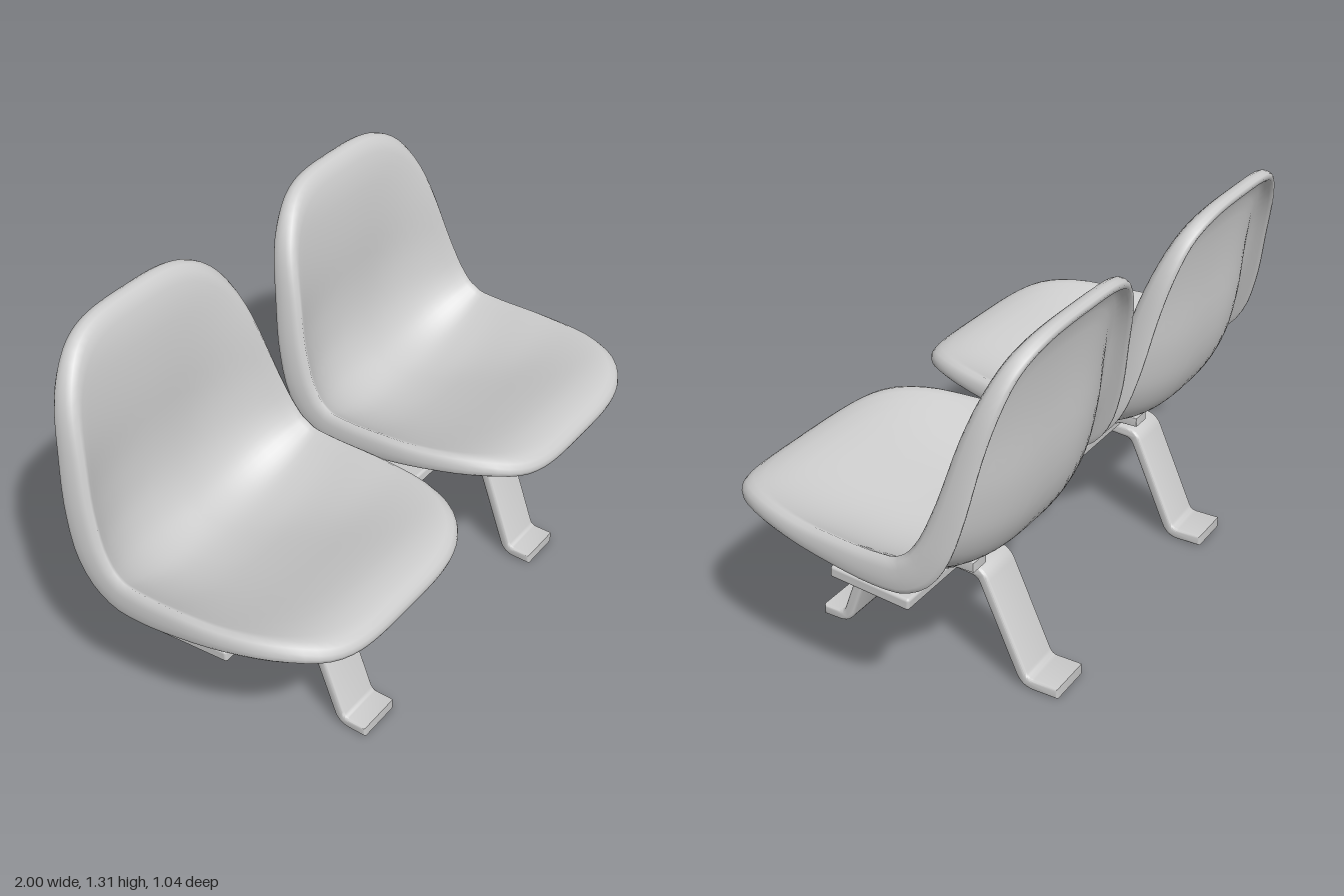
import * as THREE from 'three';
import { toCreasedNormals } from 'three/addons/utils/BufferGeometryUtils.js';
import { RoundedBoxGeometry } from 'three/addons/geometries/RoundedBoxGeometry.js';

const material = new THREE.MeshStandardMaterial({ color: 0xcccccc });

function part(name, geometry, parent, x = 0, y = 0, z = 0) {
  const mesh = new THREE.Mesh(geometry, material);
  mesh.name = name;
  mesh.position.set(x, y, z);
  parent.add(mesh);
  return mesh;
}

// Moulded shell: a squircle dish with a rolled rim, bent along the seat-to-back profile
function shellGeometry() {
  // Centre line from the front lip to the top of the back, as [z, y]
  const spine = new THREE.CatmullRomCurve3([
    [0.524, 0.594], [0.43, 0.604], [0.3, 0.582], [0.1, 0.536], [-0.1, 0.502], [-0.22, 0.507],
    [-0.31, 0.56], [-0.37, 0.655], [-0.408, 0.8], [-0.431, 1.0], [-0.452, 1.13], [-0.473, 1.225], [-0.508, 1.312],
  ].map(([z, y]) => new THREE.Vector3(0, y, z)));
  // At even steps along the spine: rim lift, rim depth, half width
  const section = new THREE.CatmullRomCurve3([
    [0.015, 0.045, 0.486], [0.06, 0.06, 0.486], [0.09, 0.072, 0.486], [0.12, 0.092, 0.486],
    [0.14, 0.108, 0.486], [0.148, 0.115, 0.485], [0.137, 0.115, 0.478], [0.115, 0.105, 0.462],
    [0.088, 0.092, 0.447], [0.06, 0.075, 0.445], [0.032, 0.052, 0.445],
  ].map((v) => new THREE.Vector3(...v)), false, 'catmullrom');

  // Rings as [radius, share of rim depth below the dish, extra drop]
  const dish = [0, 0.02, 0.05, 0.09, 0.14, 0.2, 0.27, 0.34, 0.42, 0.5, 0.58, 0.66, 0.74, 0.81, 0.87];
  const rings = [
    ...dish.map((r) => [r, 0, 0]),
    [0.92, 0, 0], [0.955, 0.02, 0], [0.98, 0.13, 0], [0.995, 0.32, 0], [1, 0.6, 0], [0.998, 0.85, 0],
    [0.988, 0.98, 0], [0.973, 0.98, 0], [0.962, 0.85, 0], [0.95, 0.6, 0.005], [0.925, 0.2, 0.016],
    ...dish.map((r) => [r, 0, 0.024]).reverse(),
  ];
  const around = 112;
  const positions = [], index = [];
  rings.forEach(([r, depth, drop], i) => {
    for (let j = 0; j < around; j++) {
      const angle = (j / around) * Math.PI * 2;
      const c = Math.cos(angle), s = Math.sin(angle);
      const n = s < 0 ? 4 : 3.5;
      const reach = r / Math.pow(Math.abs(c) ** n + Math.abs(s) ** n, 1 / n);
      const u = THREE.MathUtils.clamp((s * reach + 1) / 2, 0, 1);
      const p = spine.getPointAt(u), t = spine.getTangentAt(u);
      const { x: lift, y: rim, z: halfWidth } = section.getPoint(u);
      const h = lift * Math.min(1, (r / 0.955) ** 2.8) - rim * depth - drop;
      positions.push(c * reach * halfWidth, p.y - t.z * h, p.z + t.y * h);
      if (i < rings.length - 1) {
        const a = i * around + j, b = i * around + ((j + 1) % around);
        index.push(a, a + around, b + around, a, b + around, b);
      }
    }
  });
  const geometry = new THREE.BufferGeometry();
  geometry.setAttribute('position', new THREE.Float32BufferAttribute(positions, 3));
  geometry.setIndex(index);
  geometry.computeVertexNormals();
  return geometry;
}

// Flat bar bent along [z, y] points with rounded corners, centred on x = 0
function bentBar(points, width, thickness, radius, bevel) {
  const v = points.map(([z, y]) => new THREE.Vector2(z, y));
  const line = [v[0]];
  for (let i = 1; i < v.length - 1; i++) {
    const toward = (q) => v[i].clone().add(q.clone().sub(v[i]).setLength(radius));
    line.push(...new THREE.QuadraticBezierCurve(toward(v[i - 1]), v[i], toward(v[i + 1])).getPoints(6));
  }
  line.push(v[v.length - 1]);
  const side = (d) => line.map((p, i) => {
    const t = line[Math.min(i + 1, line.length - 1)].clone().sub(line[Math.max(i - 1, 0)]).normalize();
    return new THREE.Vector2(p.x - t.y * d, p.y + t.x * d);
  });
  const half = thickness / 2 - bevel;
  const shape = new THREE.Shape([...side(half), ...side(-half).reverse()]);
  const geometry = new THREE.ExtrudeGeometry(shape, {
    depth: width - 2 * bevel, bevelSize: bevel, bevelThickness: bevel, bevelSegments: 3,
  });
  geometry.translate(0, 0, bevel - width / 2);
  geometry.rotateY(-Math.PI / 2);
  return toCreasedNormals(geometry, 0.7);
}

export function createModel() {
  const model = new THREE.Group();
  model.name = 'twoSeatBench';

  const shell = shellGeometry();
  const bracket = bentBar([[0.272, 0.537], [0.19, 0.525], [0.135, 0.481], [-0.15, 0.453],
    [-0.19, 0.476], [-0.255, 0.476]], 0.07, 0.032, 0.018, 0.002);
  const leg = bentBar([[0.398, 0.02], [0.315, 0.02], [0.178, 0.402], [-0.2, 0.368],
    [-0.355, 0.02], [-0.463, 0.02]], 0.16, 0.037, 0.032, 0.009);

  for (const side of [-1, 1]) {
    const sideName = side > 0 ? 'left' : 'right';
    part(sideName + 'SeatShell', shell, model, side * 0.512);
    for (const offset of [-0.153, 0.153]) {
      part(sideName + 'SeatBracket', bracket, model, side * 0.515 + offset);
    }
    part(sideName + 'LegFrame', leg, model, side * 0.5);
  }

  // Beam joining both seats, tilted with them
  const beam = part('crossBeam', new RoundedBoxGeometry(1.78, 0.04, 0.28, 2, 0.01), model, 0, 0.43, -0.014);
  beam.rotation.x = -0.09;
  return model;
}
